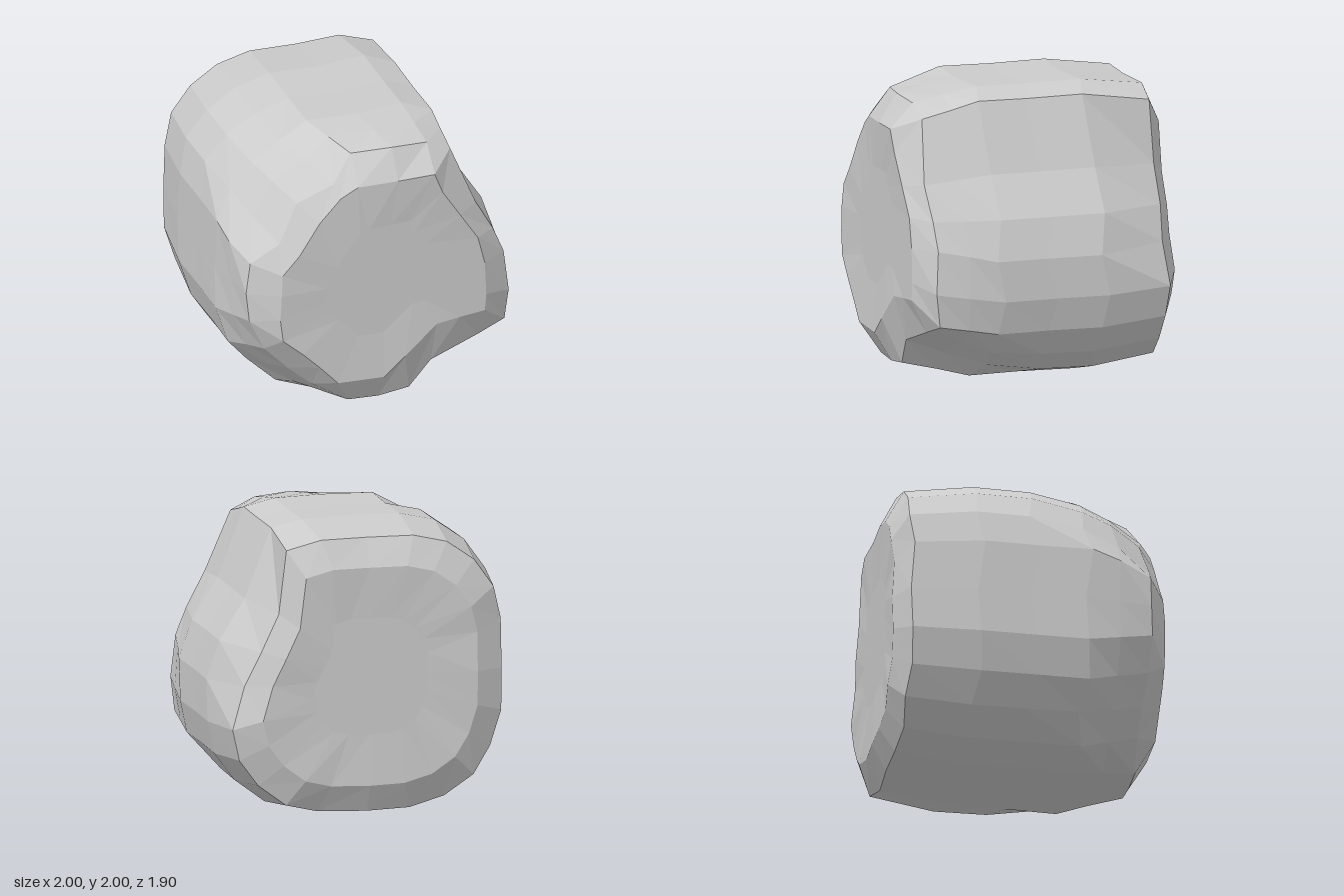
import * as THREE from 'three';

// Widest outline of the boulder, clockwise from the top left [x, y]
const OUTLINE = [
  [-0.35, 2], [0, 2], [0.34, 2], [0.54, 1.94], [0.73, 1.47], [0.91, 1.19], [0.99, 0.92], [0.995, 0.64],
  [0.94, 0.41], [0.8, 0.22], [0.6, 0.07], [0.36, 0.01], [0, 0], [-0.32, 0.01], [-0.58, 0.08], [-0.79, 0.23],
  [-0.92, 0.43], [-1, 0.69], [-1, 1.0], [-1, 1.36], [-0.94, 1.6], [-0.8, 1.8], [-0.6, 1.94],
];

// Replaces a few points of the outline
const dent = (points) => OUTLINE.map((p, i) => points[i] ?? p);

// Front outline worn at the upper -x and lower +x corners, back outline on the +x slope
const FRONT_OUTLINE = dent({
  9: [0.77, 0.25], 10: [0.55, 0.12], 15: [-0.77, 0.25], 20: [-0.89, 1.56], 21: [-0.74, 1.75], 22: [-0.55, 1.89],
});
const BACK_OUTLINE = dent({ 3: [0.59, 1.93], 4: [0.65, 1.47], 5: [0.78, 1.2], 6: [0.9, 0.95] });

// Front edge, chipped at three corners [x, y, z]
const FRONT_EDGE = [
  [-0.18, 1.92, 0.77], [0.1, 1.94, 0.82], [0.36, 1.92, 0.79], [0.53, 1.84, 0.78], [0.7, 1.42, 0.82],
  [0.83, 1.19, 0.8], [0.91, 1.0, 0.79], [0.94, 0.71, 0.81], [0.92, 0.48, 0.78], [0.72, 0.41, 0.81],
  [0.37, 0.29, 0.84], [0.22, 0.1, 0.82], [0, 0.07, 0.82], [-0.22, 0.08, 0.82], [-0.47, 0.23, 0.79],
  [-0.64, 0.38, 0.79], [-0.81, 0.56, 0.8], [-0.92, 0.79, 0.81], [-0.94, 1.0, 0.8], [-0.91, 1.22, 0.8],
  [-0.71, 1.35, 0.83], [-0.57, 1.61, 0.78], [-0.33, 1.74, 0.84],
];

// Rim of the nearly flat front face [x, y, z]
const FRONT_RIM = [
  [-0.18, 1.73, 0.92], [0.1, 1.74, 0.94], [0.36, 1.75, 0.95], [0.42, 1.6, 0.94], [0.55, 1.4, 0.93],
  [0.68, 1.2, 0.92], [0.73, 1.0, 0.92], [0.74, 0.76, 0.92], [0.73, 0.64, 0.92], [0.55, 0.62, 0.92],
  [0.38, 0.6, 0.93], [0.15, 0.4, 0.94], [0, 0.27, 0.94], [-0.33, 0.28, 0.94], [-0.46, 0.42, 0.94],
  [-0.58, 0.54, 0.94], [-0.72, 0.66, 0.93], [-0.74, 0.82, 0.93], [-0.73, 1, 0.93], [-0.72, 1.15, 0.92],
  [-0.6, 1.28, 0.92], [-0.45, 1.5, 0.91], [-0.3, 1.66, 0.91],
];

// Shrinks a ring toward the middle and sets its depth, with a slight ripple
const shrink = (ring, s, z, ripple = 0) =>
  ring.map(([x, y], i) => [x * s, 1 + (y - 1) * s, z + ripple * Math.sin(i * 2.4)]);

// Halfway ring behind the front edge, fuller over the upper chip
const SHOULDER = FRONT_EDGE.map(([x, y, z], i) => {
  const s = i >= 19 ? 0.515 : 0.5;
  const [ox, oy] = FRONT_OUTLINE[i];
  return [(x + ox) * s, 1 + (y + oy - 2) * s, (z + 0.36) / 2];
});

function loft(rings) {
  const n = rings[0].length;
  const index = [];
  for (let k = 0; k < rings.length - 1; k++) {
    for (let i = 0; i < n; i++) {
      const j = (i + 1) % n;
      const a = k * n + i, b = k * n + j, c = b + n, d = a + n;
      if (k > 0) index.push(a, b, c);
      if (k < rings.length - 2) index.push(a, c, d);
    }
  }
  const geometry = new THREE.BufferGeometry();
  geometry.setAttribute('position', new THREE.Float32BufferAttribute(rings.flat(2), 3));
  geometry.setIndex(index);
  geometry.computeVertexNormals();
  return geometry;
}

export function createModel() {
  // Cross-sections from the middle of the front face to the middle of the back
  const rings = [
    shrink(FRONT_RIM, 0, 0.92),
    shrink(FRONT_RIM, 0.55, 0.92),
    FRONT_RIM,
    FRONT_EDGE,
    SHOULDER,
    shrink(FRONT_OUTLINE, 1, 0.36, 0.03),
    shrink(OUTLINE, 0.995, 0, 0.05),
    shrink(OUTLINE, 1, -0.38, 0.03),
    shrink(BACK_OUTLINE, 0.94, -0.84, 0.015),
    shrink(BACK_OUTLINE, 0.75, -0.94, 0.008),
    shrink(BACK_OUTLINE, 0.4, -0.925),
    shrink(BACK_OUTLINE, 0, -0.925),
  ];
  const material = new THREE.MeshStandardMaterial({ color: 0xcccccc, flatShading: true });
  const boulder = new THREE.Mesh(loft(rings), material);
  boulder.name = 'boulder';

  const group = new THREE.Group();
  group.name = 'rock';
  group.add(boulder);
  return group;
}
